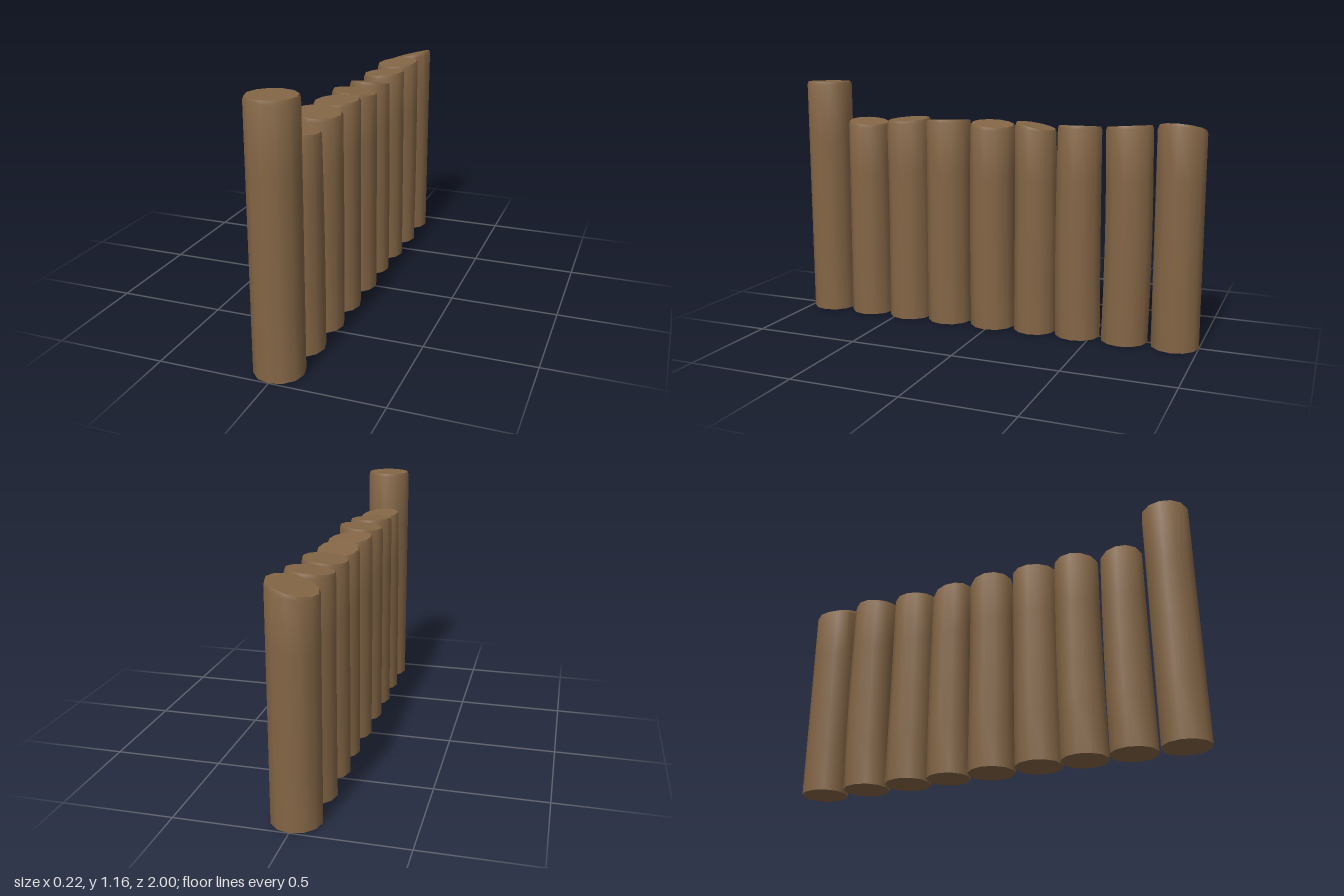
import * as THREE from 'three';
import { toCreasedNormals } from 'three/addons/utils/BufferGeometryUtils.js';

const SIDES = 12;

// z centre, radius, height, cut slope in x and z, top taper, mid bend and top lean along z
const LOGS = [
  { z: 0.89, r: 0.11, h: 1.165, sx: 0, sz: 0, taper: 1, bend: 0, lean: 0 },
  { z: 0.665, r: 0.108, h: 0.972, sx: -0.1, sz: 0.09, taper: 0.93, bend: -0.003, lean: 0.002 },
  { z: 0.445, r: 0.109, h: 0.99, sx: -0.06, sz: -0.05, taper: 0.98, bend: -0.004, lean: 0 },
  { z: 0.23, r: 0.11, h: 0.992, sx: 0.07, sz: -0.03, taper: 0.98, bend: 0, lean: 0 },
  { z: 0, r: 0.11, h: 0.982, sx: -0.09, sz: 0.08, taper: 0.97, bend: 0.003, lean: 0.002 },
  { z: -0.217, r: 0.103, h: 0.98, sx: 0, sz: 0.19, taper: 0.95, bend: -0.003, lean: 0.004 },
  { z: -0.43, r: 0.109, h: 0.986, sx: 0.09, sz: 0, taper: 0.95, bend: 0.003, lean: 0.004 },
  { z: -0.655, r: 0.11, h: 0.994, sx: 0.08, sz: -0.07, taper: 0.98, bend: -0.008, lean: 0 },
  { z: -0.89, r: 0.11, h: 0.993, sx: 0.27, sz: 0.05, taper: 1, bend: 0, lean: 0 },
];

// Closed log with a small bevelled rim, a slanted top cut and a slight bend
function logGeometry({ r, h, sx, sz, taper, bend, lean }) {
  const profile = [
    [0, 0], [r, 0], [r, h * 0.25], [r, h * 0.5], [r, h * 0.75],
    [r, h - 0.014], [r - 0.006, h], [0, h],
  ].map(([x, y]) => new THREE.Vector2(x, y));
  const geo = new THREE.LatheGeometry(profile, SIDES);
  const p = geo.attributes.position;
  for (let i = 0; i < p.count; i++) {
    const t = p.getY(i) / h;
    const k = 1 + (taper - 1) * t * t;
    const x = p.getX(i) * k;
    const z = p.getZ(i) * k;
    const slant = (sx * x + sz * z) * t;
    p.setXYZ(i, x, p.getY(i) + slant, z + bend * Math.sin(Math.PI * t) + lean * t);
  }
  // Enlarged while creasing so the narrow rim stays distinct
  geo.scale(100, 100, 100);
  const creased = toCreasedNormals(geo, 0.7);
  creased.scale(0.01, 0.01, 0.01);
  return creased;
}

export function createModel() {
  const group = new THREE.Group();
  group.name = 'logPalisade';
  const wood = new THREE.MeshStandardMaterial({ color: 0x846646 });
  wood.name = 'brownWood';

  // Row of upright logs with a taller post at the front end
  LOGS.forEach((spec, i) => {
    const log = new THREE.Mesh(logGeometry(spec), wood);
    log.name = i === 0 ? 'endPost' : `log${i}`;
    log.position.z = spec.z;
    group.add(log);
  });
  return group;
}
